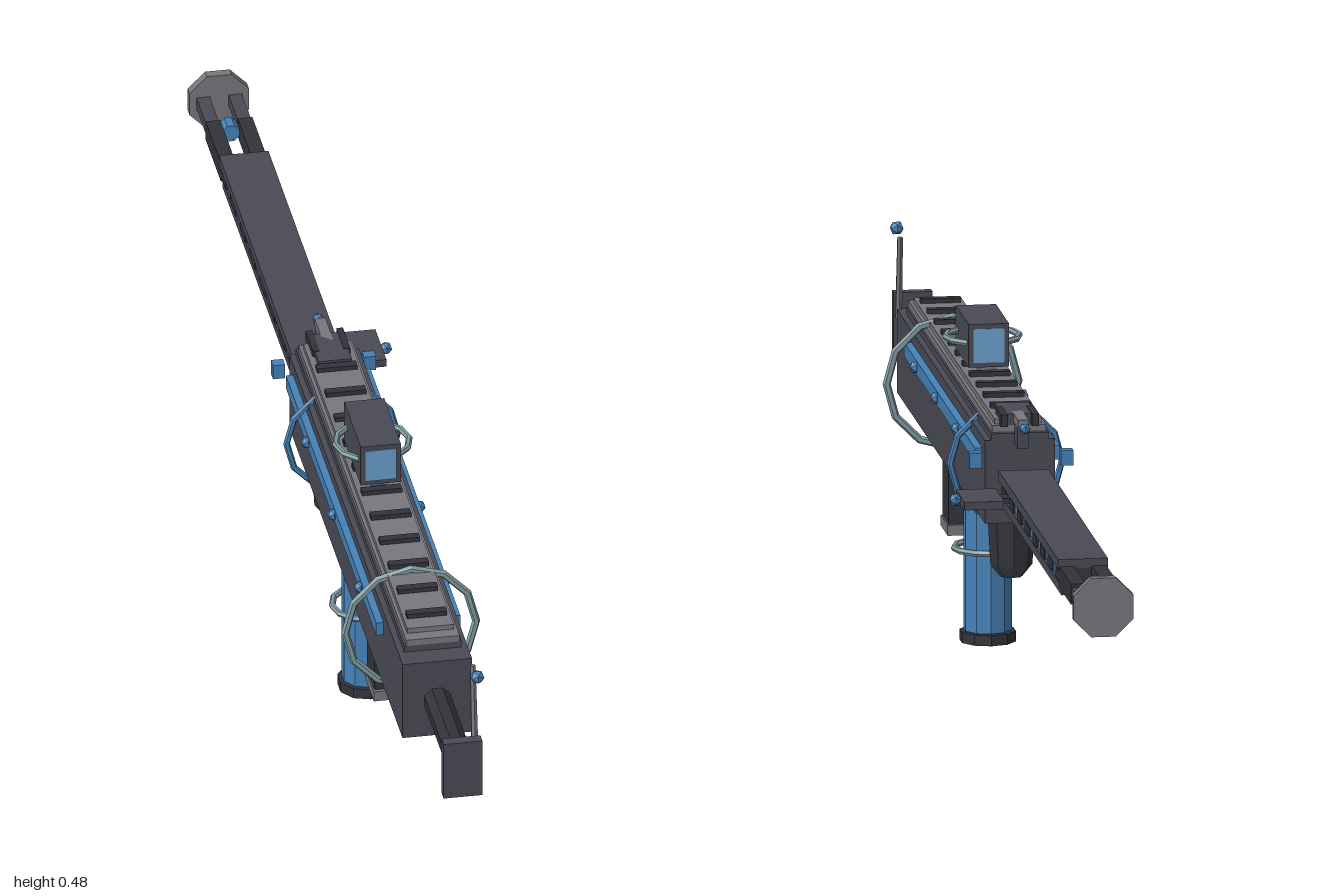
import * as THREE from 'three';

const CX = -0.008; // centre line of the long parts

export function createModel() {
  const model = new THREE.Group();
  const mat = (color) => new THREE.MeshStandardMaterial({ color, flatShading: true });
  const body = mat(0x4a4a55), dark = mat(0x33333c), light = mat(0x77777e);
  const blue = mat(0x4682b8), pane = mat(0x6a9fcc), teal = mat(0x7f9ca0);

  const add = (name, geometry, material, x, y, z) => {
    const mesh = new THREE.Mesh(geometry, material);
    mesh.name = name;
    mesh.position.set(x, y, z);
    model.add(mesh);
    return mesh;
  };
  // Box given by its limits on each axis
  const box = (name, m, x0, x1, y0, y1, z0, z1) =>
    add(name, new THREE.BoxGeometry(x1 - x0, y1 - y0, z1 - z0), m,
      (x0 + x1) / 2, (y0 + y1) / 2, (z0 + z1) / 2);
  // Box centred on the centre line
  const midBox = (name, m, halfWidth, y0, y1, z0, z1) =>
    box(name, m, CX - halfWidth, CX + halfWidth, y0, y1, z0, z1);
  // Upright prism
  const post = (name, m, rTop, rBottom, y0, y1, z, sides) =>
    add(name, new THREE.CylinderGeometry(rTop, rBottom, y1 - y0, sides), m, CX, (y0 + y1) / 2, z);
  // Prism lying along z
  const rod = (name, m, r, x, y, z0, z1, sides = 8) => {
    const geo = new THREE.CylinderGeometry(r, r, z1 - z0, sides);
    geo.rotateY(Math.PI / sides).rotateX(Math.PI / 2);
    return add(name, geo, m, x, y, (z0 + z1) / 2);
  };
  const ring = (name, m, r, tube, y, z, flat) => {
    const geo = new THREE.TorusGeometry(r, tube, 6, 12);
    if (flat) geo.rotateX(Math.PI / 2);
    return add(name, geo, m, CX, y, z);
  };
  const knob = (name, x, y, z, r) =>
    add(name, new THREE.IcosahedronGeometry(r, 0), blue, x, y, z);

  // Main housing and stepped cover
  midBox('housing', body, 0.052, 0.25, 0.375, -0.13, 0.79);
  midBox('lowerCover', body, 0.043, 0.375, 0.385, -0.13, 0.755);
  midBox('middleCover', light, 0.04, 0.385, 0.395, -0.12, 0.755);
  midBox('upperCover', light, 0.035, 0.395, 0.403, -0.11, 0.735);
  for (let i = 0; i < 11; i++) {
    const z = -0.03 + i * 0.073;
    midBox('coverRib', dark, 0.03, 0.4, 0.41, z - 0.007, z + 0.007);
  }

  // Side strips with rivets and end pivots
  for (const side of [-1, 1]) {
    const x = CX + side * 0.057;
    box('sideStrip', blue, x - 0.006, x + 0.006, 0.337, 0.358, -0.1, 0.635);
    for (const z of [0.51, 0.295, 0.08]) knob('stripRivet', CX + side * 0.064, 0.348, z, 0.01);
    box('pivotBlock', blue, CX + side * 0.068 - 0.009, CX + side * 0.068 + 0.009,
      0.337, 0.36, -0.145, -0.128);
  }

  // Hoops around the housing
  ring('frontHoop', teal, 0.098, 0.006, 0.31, 0.573);
  ring('rearHoop', blue, 0.083, 0.005, 0.31, 0.015);

  // Shaft and end plate
  rod('frontShaft', dark, 0.021, CX, 0.31, 0.78, 0.99);
  midBox('frontPlate', body, 0.029, 0.265, 0.357, 0.983, 1);
  const lever = add('lever', new THREE.CylinderGeometry(0.0045, 0.0055, 0.125, 6), light, 0.018, 0.388, 0.945);
  lever.rotation.x = -0.13;
  knob('leverKnob', 0.017, 0.455, 0.98, 0.011);

  // Sight box with a looped band
  midBox('sightMount', light, 0.012, 0.402, 0.418, 0.21, 0.315);
  midBox('sightBox', body, 0.03, 0.414, 0.479, 0.195, 0.33);
  for (const z of [0.329, 0.194]) midBox('sightPane', pane, 0.023, 0.421, 0.472, z, z + 0.003);
  ring('sightBand', teal, 0.055, 0.005, 0.447, 0.262, true);

  // Magazine, guard plate and rear grip
  midBox('magazine', dark, 0.032, 0.13, 0.255, 0.39, 0.452);
  midBox('magazineBase', light, 0.034, 0.12, 0.136, 0.385, 0.458);
  midBox('guardPlate', dark, 0.022, 0.24, 0.252, 0.3, 0.39);
  const grip = post('rearGrip', dark, 0.029, 0.025, 0.168, 0.255, -0.04, 8);
  grip.scale.x = 1.25;
  const gripTip = post('rearGripTip', body, 0.025, 0.013, 0.15, 0.168, -0.04, 8);
  gripTip.scale.x = 1.25;

  // Long handle with foot and ring
  post('handle', blue, 0.036, 0.036, 0.017, 0.255, 0.207, 10);
  post('handleFoot', dark, 0.042, 0.042, 0, 0.016, 0.207, 10);
  ring('handleRing', teal, 0.05, 0.005, 0.141, 0.207, true);

  // Rear catch on the cover
  midBox('catchBase', body, 0.025, 0.395, 0.412, -0.12, -0.04);
  midBox('catchBar', light, 0.008, 0.4, 0.412, -0.165, -0.1);
  midBox('catchHook', body, 0.008, 0.368, 0.401, -0.16, -0.13);
  for (const s of [-1, 1]) {
    const x = CX + s * 0.023;
    box('catchEar', dark, x - 0.005, x + 0.005, 0.395, 0.413, -0.13, -0.07);
  }
  knob('catchKnob', CX, 0.402, -0.18, 0.009);

  // Barrel: plates above and below a slotted core
  rod('barrelNeck', dark, 0.009, CX, 0.31, -0.18, -0.12);
  midBox('barrelTop', body, 0.037, 0.322, 0.337, -0.785, -0.166);
  midBox('barrelBottom', body, 0.032, 0.283, 0.297, -0.785, -0.166);
  midBox('barrelCore', dark, 0.022, 0.295, 0.324, -0.785, -0.166);
  for (const s of [-1, 1]) {
    const x = CX + s * 0.028;
    for (let i = 0; i < 8; i++) {
      const z = -0.205 - i * 0.08;
      box('barrelSpacer', dark, x - 0.007, x + 0.007, 0.303, 0.318, z - 0.022, z + 0.022);
      if (i < 7) box('barrelCell', blue, x - 0.005, x + 0.005, 0.305, 0.316, z - 0.054, z - 0.026);
    }
    // Twin rails running to the end disc
    const rx = CX + s * 0.024;
    box('endRail', dark, rx - 0.011, rx + 0.011, 0.295, 0.326, -0.905, -0.78);
    box('endProng', body, rx - 0.01, rx + 0.01, 0.302, 0.32, -0.99, -0.9);
  }
  rod('railPin', blue, 0.014, CX, 0.31, -0.915, -0.89);
  rod('endDisc', light, 0.048, CX, 0.31, -1, -0.985);

  // Side tab beside the barrel
  box('sideTab', body, 0.037, 0.096, 0.304, 0.316, -0.28, -0.19);
  box('sideTabArm', dark, 0.015, 0.045, 0.306, 0.314, -0.25, -0.22);
  knob('sideTabKnob', 0.103, 0.31, -0.233, 0.01);

  return model;
}
